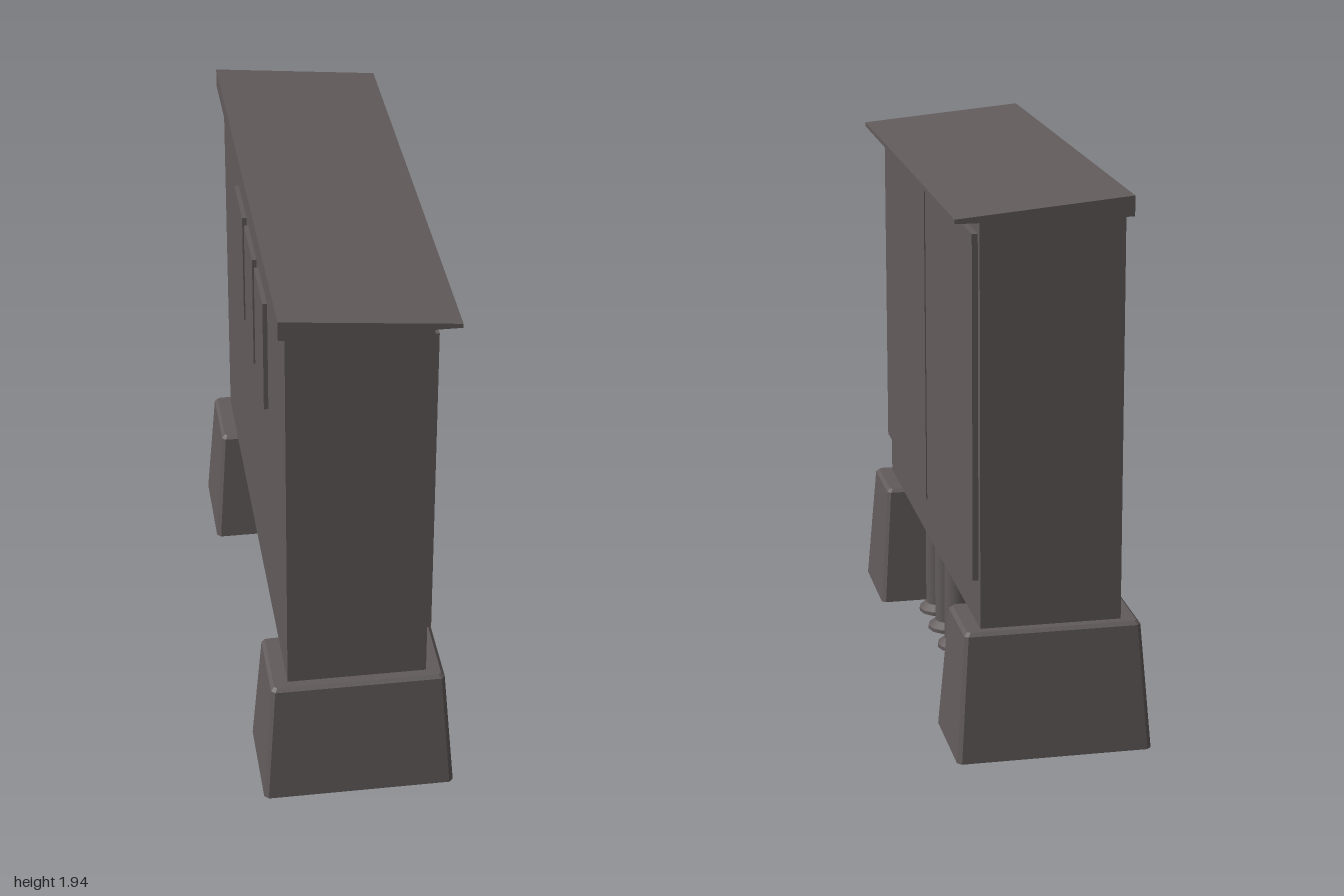
import * as THREE from 'three';

const paint = new THREE.MeshStandardMaterial({ color: 0x625b5b, side: THREE.DoubleSide });
paint.name = 'warm grey';

function addPart(parent, name, geometry, x = 0, y = 0, z = 0) {
  const mesh = new THREE.Mesh(geometry, paint);
  mesh.name = name;
  mesh.position.set(x, y, z);
  parent.add(mesh);
  return mesh;
}

// Box given by its lower and upper limits
function addBox(parent, name, [x0, y0, z0], [x1, y1, z1]) {
  return addPart(parent, name, new THREE.BoxGeometry(x1 - x0, y1 - y0, z1 - z0),
    (x0 + x1) / 2, (y0 + y1) / 2, (z0 + z1) / 2);
}

// Rectangle with cut corners, as a loop around the y axis
function chamferedRing(y, hx, hz, cut) {
  return [
    [hx, -hz + cut], [hx, hz - cut], [hx - cut, hz], [-hx + cut, hz],
    [-hx, hz - cut], [-hx, -hz + cut], [-hx + cut, -hz], [hx - cut, -hz],
  ].map(([x, z]) => [x, y, z]);
}

// Hollow tapered foot, open below, with chamfered edges
function footGeometry() {
  const rings = [
    chamferedRing(0, 0.342, 0.194, 0.015),
    chamferedRing(0.446, 0.308, 0.154, 0.013),
    chamferedRing(0.458, 0.296, 0.142, 0.01),
  ];
  const positions = [];
  const triangle = (...points) => points.forEach((p) => positions.push(...p));
  for (let r = 0; r < rings.length - 1; r++) {
    for (let i = 0; i < 8; i++) {
      const j = (i + 1) % 8;
      const [a, b, c, d] = [rings[r][i], rings[r][j], rings[r + 1][j], rings[r + 1][i]];
      triangle(a, d, c);
      triangle(a, c, b);
    }
  }
  const top = rings[rings.length - 1];
  for (let i = 0; i < 8; i++) triangle([0, 0.458, 0], top[(i + 1) % 8], top[i]);
  const geometry = new THREE.BufferGeometry();
  geometry.setAttribute('position', new THREE.Float32BufferAttribute(positions, 3));
  geometry.computeVertexNormals();
  return geometry;
}

export function createModel() {
  const model = new THREE.Group();
  model.name = 'utilityCabinet';

  // Cabinet body
  addBox(model, 'body', [-0.246, 0.456, -0.917], [0.246, 1.872, 0.917]);

  // Sloping roof, high at the back and thin over the doors
  const section = new THREE.Shape([
    new THREE.Vector2(-0.27, 1.87), new THREE.Vector2(0.333, 1.87),
    new THREE.Vector2(0.333, 1.885), new THREE.Vector2(-0.27, 1.94),
  ]);
  addPart(model, 'roof',
    new THREE.ExtrudeGeometry(section, { depth: 1.876, bevelEnabled: false }), 0, 0, -0.938);

  // Pair of doors
  for (const side of [-1, 1]) {
    addBox(model, side > 0 ? 'frontDoor' : 'rearDoor',
      [0.24, 0.622, side * 0.448 - 0.437], [0.266, 1.823, side * 0.448 + 0.437]);
  }

  // Three raised panels on the opposite face
  [-0.295, 0.01, 0.315].forEach((z, i) => {
    addBox(model, `ventPanel${i + 1}`, [-0.262, 1.29, z - 0.125], [-0.24, 1.715, z + 0.125]);
  });

  // Feet
  const foot = footGeometry();
  addPart(model, 'frontFoot', foot, 0, 0, 0.806);
  addPart(model, 'rearFoot', foot, 0, 0, -0.806);

  // Cable conduits with flared collars, open at the bottom
  const pipe = new THREE.CylinderGeometry(0.054, 0.054, 0.43, 12, 1, true);
  const flare = new THREE.CylinderGeometry(0.054, 0.081, 0.022, 12, 1, true);
  const rim = new THREE.CylinderGeometry(0.081, 0.081, 0.014, 12, 1, true);
  [0.493, 0.293, 0.094].forEach((z, i) => {
    const conduit = new THREE.Group();
    conduit.name = `conduit${i + 1}`;
    conduit.position.set(0.13, 0, z);
    addPart(conduit, 'pipe', pipe, 0, 0.251, 0);
    addPart(conduit, 'flare', flare, 0, 0.025, 0);
    addPart(conduit, 'rim', rim, 0, 0.007, 0);
    model.add(conduit);
  });

  return model;
}
